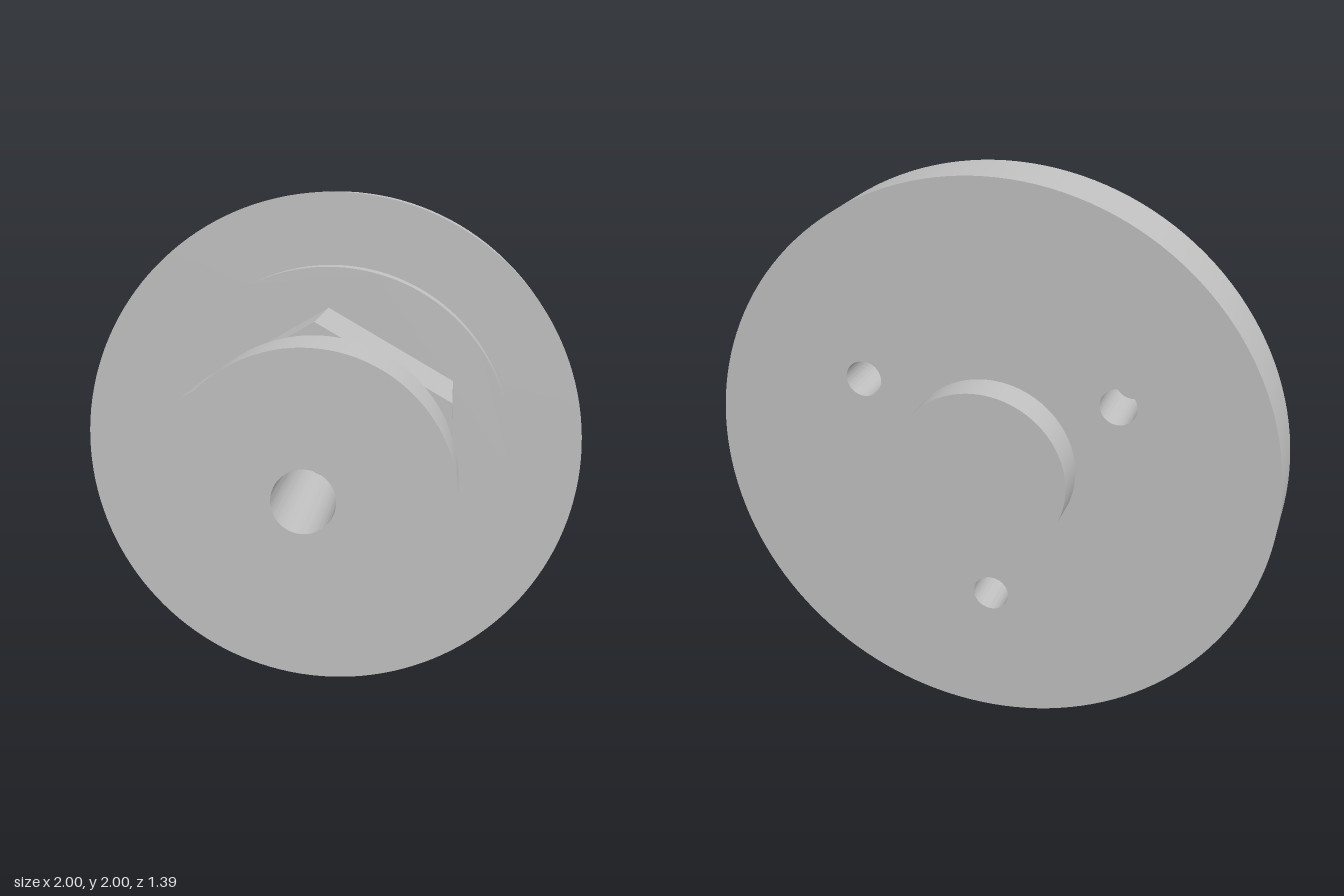
import * as THREE from 'three';
import { toCreasedNormals } from 'three/addons/utils/BufferGeometryUtils.js';

const TAU = Math.PI * 2;

function circle(radius, x = 0, y = 0, PathType = THREE.Shape) {
  const path = new PathType();
  path.absarc(x, y, radius, 0, TAU, false);
  return path;
}

// Regular hexagon with a corner pointing up
function hexagon(radius) {
  const corners = [];
  for (let i = 0; i < 6; i++) {
    const a = Math.PI / 2 + (i * TAU) / 6;
    corners.push(new THREE.Vector2(radius * Math.cos(a), radius * Math.sin(a)));
  }
  return new THREE.Shape(corners);
}

export function createModel() {
  const model = new THREE.Group();
  model.name = 'flangedHub';
  const metal = new THREE.MeshStandardMaterial({ color: 0xc0c0c0 });
  metal.name = 'greyMetal';

  // Extrudes an outline between two depths on the shared axis at y = 1
  function addDisc(name, shape, back, front, holes = []) {
    shape.holes.push(...holes);
    const extruded = new THREE.ExtrudeGeometry(shape, {
      depth: front - back, bevelEnabled: false, curveSegments: 72,
    });
    const mesh = new THREE.Mesh(toCreasedNormals(extruded, 0.5), metal);
    mesh.name = name;
    mesh.position.set(0, 1, back);
    model.add(mesh);
  }

  // Centre bore runs through the hub and the hexagon
  const bore = () => circle(0.11, 0, 0, THREE.Path);
  addDisc('hub', circle(0.513), 0.335, 0.695, [bore()]);
  addDisc('hexagon', hexagon(0.56), -0.205, 0.335, [bore()]);

  // Collar closes the bore and the bolt holes
  addDisc('collar', circle(0.717), -0.335, -0.205);

  // Flange with three bolt holes, one straight down
  const boltHoles = [];
  for (let i = 0; i < 3; i++) {
    const a = -Math.PI / 2 + (i * TAU) / 3;
    boltHoles.push(circle(0.064, 0.52 * Math.cos(a), 0.52 * Math.sin(a), THREE.Path));
  }
  addDisc('flange', circle(1), -0.565, -0.335, boltHoles);

  // Locating boss on the back
  addDisc('boss', circle(0.307), -0.695, -0.565);

  return model;
}
